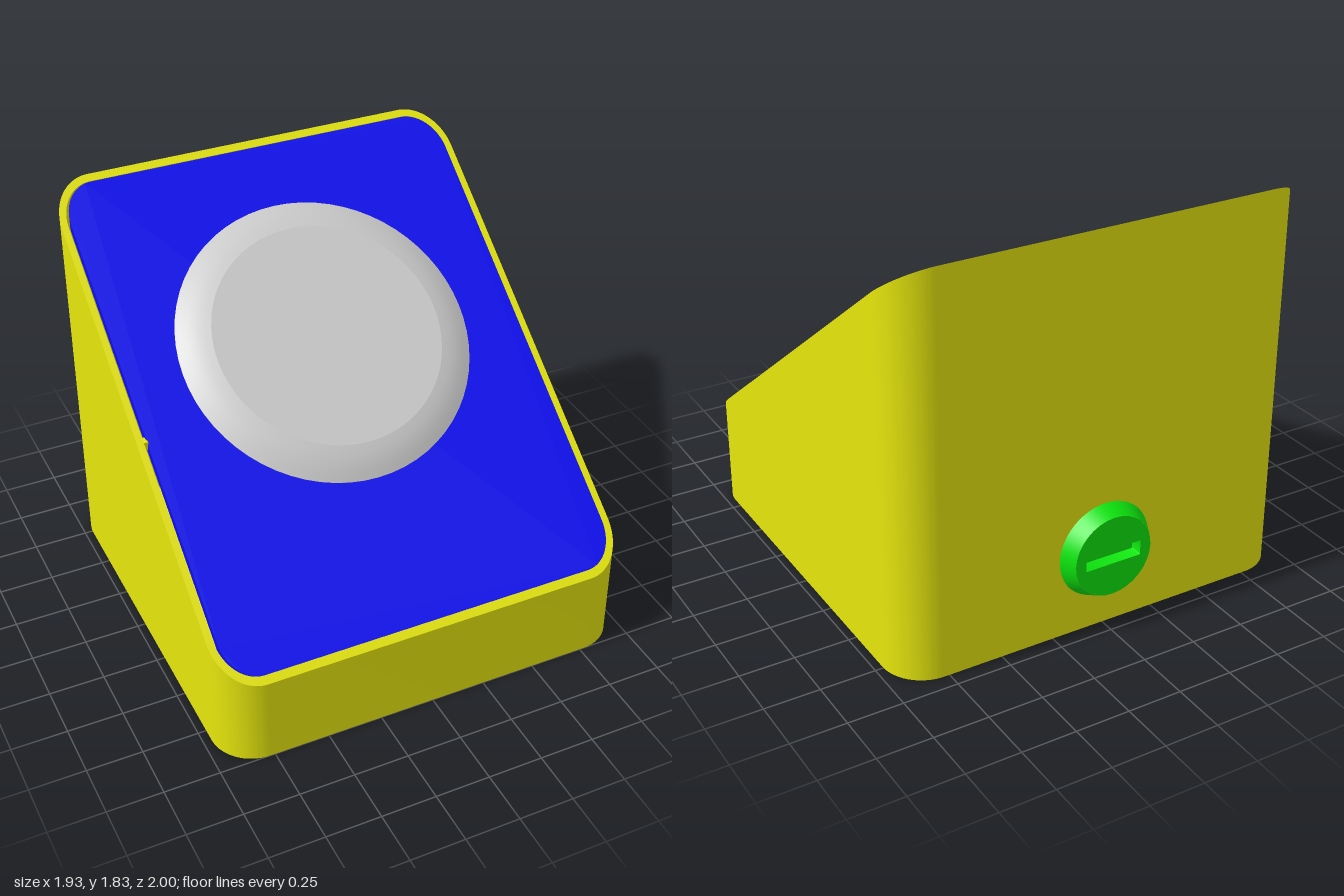
import * as THREE from 'three';
import { toCreasedNormals } from 'three/addons/utils/BufferGeometryUtils.js';

const SLOPE = 0.736;
const slopeY = (z) => 0.41 + SLOPE * (1 - z); // height of the slanted top

const yellow = new THREE.MeshStandardMaterial({ color: 0xe6e60d });
const blue = new THREE.MeshStandardMaterial({ color: 0x0d0df2 });
const green = new THREE.MeshStandardMaterial({ color: 0x0de60d });
const grey = new THREE.MeshStandardMaterial({ color: 0xcccccc });

// Rounded rectangle in plan; plan y is -z
function roundedRect(path, x0, x1, z0, z1, r) {
  const a = -z1, b = -z0, q = Math.PI / 2;
  path.moveTo(x0 + r, a);
  path.absarc(x1 - r, a + r, r, -q, 0);
  path.absarc(x1 - r, b - r, r, 0, q);
  path.absarc(x0 + r, b - r, r, q, 2 * q);
  path.absarc(x0 + r, a + r, r, 2 * q, 3 * q);
  path.closePath();
  return path;
}

// Upright prism whose bottom and top heights are functions of z
function prism(shape, bottom, top) {
  const g = new THREE.ExtrudeGeometry(shape, { depth: 1, bevelEnabled: false, curveSegments: 16 });
  g.rotateX(-Math.PI / 2);
  const p = g.attributes.position;
  for (let i = 0; i < p.count; i++) {
    const z = p.getZ(i);
    p.setY(i, p.getY(i) > 0.5 ? top(z) : bottom(z));
  }
  return toCreasedNormals(g, 0.5);
}

function lathe(points) {
  const g = new THREE.LatheGeometry(points.map(([x, y]) => new THREE.Vector2(x, y)), 64);
  return toCreasedNormals(g, 0.2);
}

function add(parent, name, geometry, material) {
  const mesh = new THREE.Mesh(geometry, material);
  mesh.name = name;
  parent.add(mesh);
  return mesh;
}

export function createModel() {
  const model = new THREE.Group();
  model.name = 'wedgeButtonBox';

  // Hollow wedge housing with thin walls and a floor
  const inner = [-0.932, 0.932, -0.9, 0.968, 0.16];
  const wall = roundedRect(new THREE.Shape(), -0.963, 0.963, -0.93, 1, 0.19);
  wall.holes.push(roundedRect(new THREE.Path(), ...inner));
  add(model, 'housingWalls', prism(wall, () => 0, slopeY), yellow);
  const floor = roundedRect(new THREE.Shape(), ...inner);
  add(model, 'housingFloor', prism(floor, () => 0, () => 0.03), yellow);

  // Slanted panel, leaving a hairline gap on one side
  const panel = roundedRect(new THREE.Shape(), -0.918, 0.932, -0.9, 0.967, 0.15);
  add(model, 'facePanel', prism(panel, (z) => slopeY(z) - 0.05, (z) => slopeY(z) - 0.002), blue);

  // Small tab in the gap
  const tab = add(model, 'panelTab', new THREE.BoxGeometry(0.02, 0.04, 0.04), yellow);
  tab.position.set(-0.925, slopeY(0.08) - 0.025, 0.08);

  // Large round push button with a bulging edge and flat top
  const profile = [[0.675, -0.02], [0.675, 0]];
  for (let i = 1; i <= 6; i++) {
    const t = i / 6;
    profile.push([0.675 - 0.15 * t, 0.06 * t + 0.008 * Math.sin(Math.PI * t)]);
  }
  profile.push([0, 0.06]);
  const button = add(model, 'pushButton', lathe(profile), grey);
  button.position.set(0.005, slopeY(-0.11), -0.11);
  button.rotation.x = Math.atan(SLOPE);

  // Tapered plug on the back with a horizontal slot
  const plug = new THREE.Group();
  plug.name = 'backPlug';
  plug.position.set(0, 0.37, -0.93);
  plug.rotation.x = -Math.PI / 2;
  model.add(plug);
  add(plug, 'plugRim', lathe([[0.222, 0], [0.187, 0.07]]), green);
  const face = new THREE.Shape().absarc(0, 0, 0.187, 0, Math.PI * 2);
  face.holes.push(roundedRect(new THREE.Path(), -0.135, 0.135, -0.035, 0.035, 0.004));
  add(plug, 'plugFace', prism(face, () => 0.01, () => 0.07), green);
  const slotFloor = new THREE.CircleGeometry(0.18, 48).rotateX(-Math.PI / 2).translate(0, 0.011, 0);
  add(plug, 'plugSlotFloor', slotFloor, green);

  return model;
}
